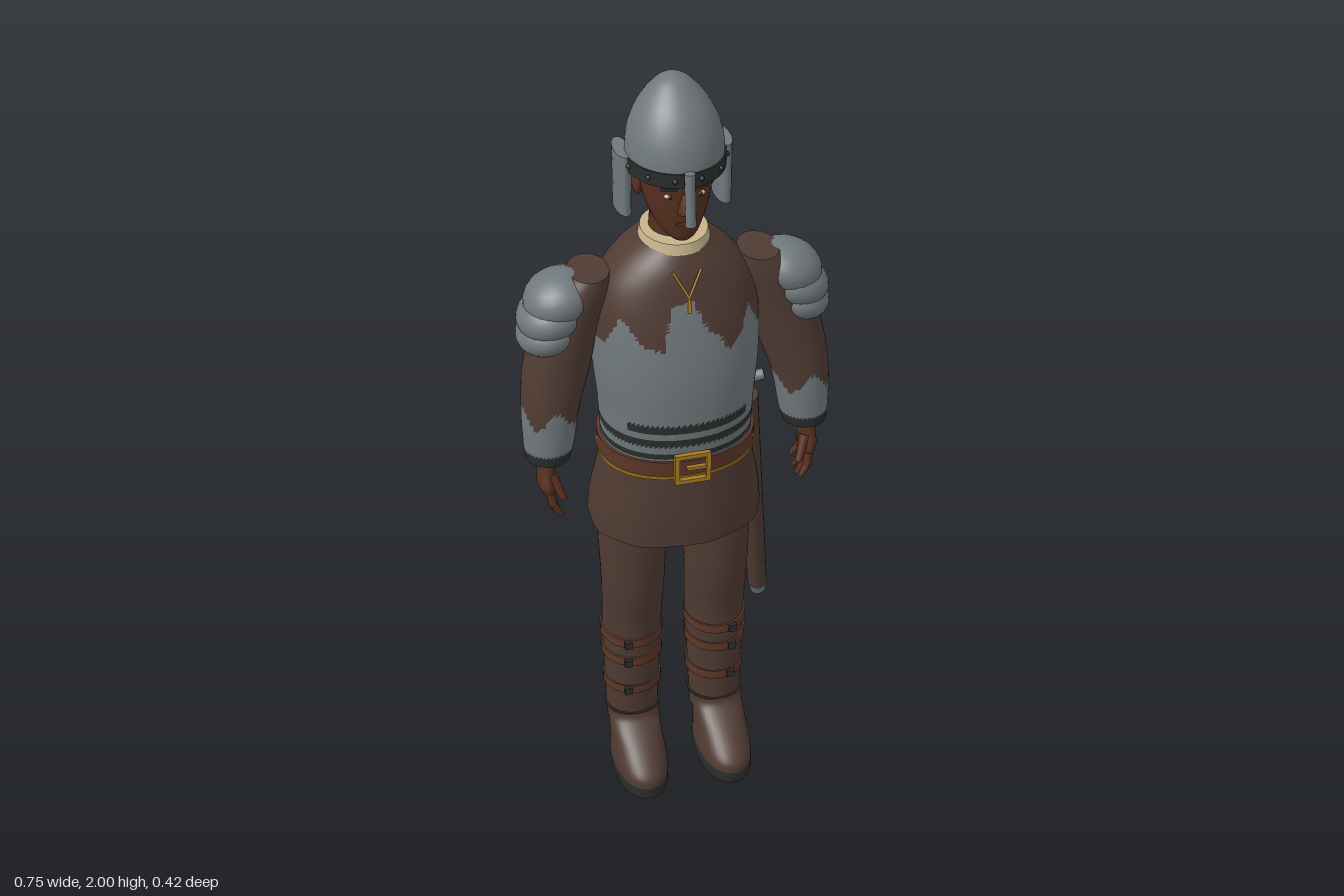
import * as THREE from 'three';

const mat = (name, color) => Object.assign(new THREE.MeshStandardMaterial({ color }), { name });
const cloth = mat('brown leather', 0x4f3b32), steel = mat('grey steel', 0x70787b), dark = mat('dark iron', 0x2b2d2d);
const skin = mat('skin', 0x56301f), strap = mat('russet strap', 0x5c3728), gold = mat('gold', 0xa87a24);
const cream = mat('cream linen', 0xc6b48c);
const skirtCloth = mat('skirt leather', 0x4f3b32);
skirtCloth.side = THREE.DoubleSide;

const add = (parent, name, geo, material) => {
  const m = new THREE.Mesh(geo, material);
  m.name = name;
  parent.add(m);
  return m;
};

// Smooth value between cross-sections
const spline = (a, b, c, d, t) =>
  0.5 * (2 * b + (c - a) * t + (2 * a - 5 * b + 4 * c - d) * t * t + (3 * b - a - 3 * c + d) * t * t * t);

// Skin over elliptical sections [y, cx, cz, rx, rz], lowest first; paint(x, y, z) picks a material index
function loft(sections, { seg = 28, sub = 4, power = 1, cap = true, paint = () => 0, shape } = {}) {
  const rings = [], n = sections.length - 1;
  const at = i => sections[Math.min(n, Math.max(0, i))];
  for (let i = 0; i < n; i++) for (let k = 0; k < sub; k++)
    rings.push(at(i).map((_, c) => spline(at(i - 1)[c], at(i)[c], at(i + 1)[c], at(i + 2)[c], k / sub)));
  rings.push(sections[n]);
  const pos = [], tris = [];
  const bend = p => 0 ** 0 * Math.sign(p) * Math.abs(p) ** power;
  const ring = ([y, cx, cz, rx, rz]) => {
    for (let j = 0; j < seg; j++) {
      const a = j / seg * Math.PI * 2;
      const p = [cx + rx * bend(Math.sin(a)), y, cz + rz * bend(Math.cos(a))];
      pos.push(...(shape ? shape(p, a) : p));
    }
  };
  rings.forEach(ring);
  for (let i = 0; i < rings.length - 1; i++) for (let j = 0; j < seg; j++) {
    const a = i * seg + j, b = i * seg + (j + 1) % seg;
    tris.push([a, b, b + seg], [a, b + seg, a + seg]);
  }
  if (cap) for (const [r, flip] of [[rings[0], true], [rings.at(-1), false]]) {
    const s = pos.length / 3;
    ring(r);
    pos.push(r[1], r[0], r[2]);
    for (let j = 0; j < seg; j++) {
      const k = s + (j + 1) % seg;
      tris.push(flip ? [k, s + j, s + seg] : [s + j, k, s + seg]);
    }
  }
  // Sort triangles into colour groups
  const buckets = [];
  for (const t of tris) {
    const mid = [0, 1, 2].map(c => (pos[t[0] * 3 + c] + pos[t[1] * 3 + c] + pos[t[2] * 3 + c]) / 3);
    (buckets[paint(...mid)] ??= []).push(...t);
  }
  const g = new THREE.BufferGeometry(), index = [];
  buckets.forEach((b, i) => { g.addGroup(index.length, b.length, i); index.push(...b); });
  g.setAttribute('position', new THREE.Float32BufferAttribute(pos, 3));
  g.setIndex(index);
  g.computeVertexNormals();
  return g;
}

// Tapered round bar from p to q
function rod(parent, name, p, q, r0, r1, material) {
  const a = new THREE.Vector3(...p), b = new THREE.Vector3(...q), d = b.clone().sub(a);
  const m = add(parent, name, new THREE.CylinderGeometry(r1, r0, d.length(), 14), material);
  m.position.copy(a).add(b).multiplyScalar(0.5);
  m.quaternion.setFromUnitVectors(new THREE.Vector3(0, 1, 0), d.normalize());
  return m;
}
const ball = (parent, name, [x, y, z], [rx, ry, rz], material) => {
  const m = add(parent, name, new THREE.SphereGeometry(1, 24, 16), material);
  m.position.set(x, y, z);
  m.scale.set(rx, ry, rz);
  return m;
};
const box = (parent, name, [x, y, z], size, material) => {
  const m = add(parent, name, new THREE.BoxGeometry(...size), material);
  m.position.set(x, y, z);
  return m;
};

function buildTorso(g) {
  // Ragged upper edge of the breastplate, as [x, y]
  const edge = [[-.3, 1.37], [-.18, 1.385], [-.15, 1.46], [-.14, 1.45], [-.106, 1.395], [-.06, 1.385], [-.04, 1.49],
    [.01, 1.5], [.04, 1.43], [.07, 1.41], [.095, 1.36], [.125, 1.39], [.15, 1.45], [.18, 1.385], [.3, 1.37]];
  const edgeY = x => {
    const i = edge.findIndex(e => e[0] > x), [x0, y0] = edge[i - 1], [x1, y1] = edge[i];
    return y0 + (y1 - y0) * (x - x0) / (x1 - x0);
  };
  const paint = (x, y, z) => {
    if (z < -.07 && y > 1.59) return 3;
    if (z < 0 && Math.abs(y - 1.1) < .006) return 3;
    if (z < -.02) return z < -.1 && Math.abs(Math.abs(x) - .07) < .025 && Math.abs(y - 1.16) < .008 ? 2 : 0;
    if (Math.abs(y - 1.175) < .011 && Math.abs(x) < .145) return 2;
    if (Math.abs(y - 1.135) < .012 || Math.abs(y - 1.095) < .009) return 2;
    return y < edgeY(x) ? 1 : 0;
  };
  add(g, 'torso', loft([[1, 0, .015, .18, .15], [1.08, 0, .018, .182, .155], [1.18, 0, .017, .187, .16],
    [1.3, 0, .014, .197, .16], [1.42, 0, .006, .196, .149], [1.5, 0, -.002, .178, .138],
    [1.56, 0, -.003, .135, .12], [1.61, 0, 0, .075, .09]], { seg: 96, sub: 12, power: .92, paint }),
  [cloth, steel, dark, cream]);
  add(g, 'collar', loft([[1.6, 0, .003, .083, .096], [1.625, 0, .003, .077, .09]]), cream);
  add(g, 'skirt', loft([[.82, 0, .005, .215, .17], [.9, 0, .01, .207, .166], [1, 0, .017, .188, .153],
    [1.045, 0, .017, .183, .15]], { seg: 48, cap: false, power: .92,
    shape: ([x, y, z], a) => { const f = 1 + .012 * Math.sin(a * 9) * (1.04 - y) / .22; return [x * f, y, z * f]; } }), skirtCloth);
  // Belt with gilt lower edge and square buckle
  add(g, 'belt', loft([[1.04, 0, .016, .191, .16], [1.082, 0, .016, .191, .162]], { seg: 48, power: .92 }), strap);
  add(g, 'beltEdge', loft([[1.03, 0, .016, .192, .16], [1.04, 0, .016, .193, .162]],
    { seg: 48, power: .92, paint: (x, y, z) => z > 0 ? 0 : 1 }), [gold, cream]);
  for (const s of [-1, 1]) {
    box(g, 'buckleSide', [s * .038, 1.065, .183], [.011, .082, .012], gold);
    box(g, 'buckleBar', [0, 1.065 + s * .036, .183], [.08, .011, .012], gold);
  }
  box(g, 'bucklePin', [.01, 1.065, .183], [.05, .008, .01], gold);
  // Necklace
  for (const s of [-1, 1]) rod(g, 'necklaceChain', [s * .033, 1.575, .122], [0, 1.515, .144], .003, .003, gold);
  rod(g, 'necklacePendant', [0, 1.515, .144], [0, 1.48, .15], .003, .005, gold);
}

function buildHead(g) {
  add(g, 'neck', loft([[1.56, 0, -.005, .066, .066], [1.64, 0, -.005, .054, .06], [1.72, 0, -.002, .056, .062]]), skin);
  add(g, 'face', loft([[1.637, 0, .07, .022, .026], [1.652, 0, .052, .042, .053], [1.69, 0, .03, .064, .079],
    [1.74, 0, .02, .078, .092], [1.79, 0, .014, .084, .098], [1.83, 0, .012, .084, .098]]), skin);
  add(g, 'nose', loft([[1.714, 0, .108, .018, .014], [1.724, 0, .112, .018, .02], [1.765, 0, .106, .009, .012]]), skin);
  box(g, 'mouth', [0, 1.688, .106], [.04, .008, .008], strap);
  for (const s of [-1, 1]) {
    ball(g, 'eye', [s * .034, 1.757, .099], [.013, .006, .008], cream);
    ball(g, 'pupil', [s * .034, 1.757, .105], [.005, .006, .004], dark);
    box(g, 'eyebrow', [s * .036, 1.776, .103], [.036, .006, .008], dark).rotation.y = s * .3;
    ball(g, 'ear', [s * .083, 1.745, 0], [.012, .03, .02], skin);
    // Hanging cheek guard
    const guard = add(g, 'cheekGuard', new THREE.CylinderGeometry(1, 1, .147, 20), steel);
    guard.position.set(s * .115, 1.755, -.013);
    guard.scale.set(.019, 1, .05);
  }
  add(g, 'hair', loft([[1.69, 0, -.035, .045, .032], [1.74, 0, -.03, .064, .052], [1.8, 0, -.02, .075, .07]]), dark);
  add(g, 'helmet', loft([[1.8, 0, .01, .109, .123], [1.84, 0, .01, .11, .122], [1.89, 0, .008, .101, .111],
    [1.94, 0, .004, .077, .085], [1.98, 0, -.002, .043, .046], [1.994, 0, -.004, .022, .024], [2, 0, -.004, .003, .003]], { seg: 40 }), steel);
  add(g, 'helmetBand', loft([[1.793, 0, .01, .114, .127], [1.827, 0, .01, .114, .127]], { seg: 40 }), dark);
  for (let i = 0; i < 12; i++) {
    const a = (i + .5) / 12 * Math.PI * 2;
    ball(g, 'rivet', [.115 * Math.sin(a), 1.811, .01 + .128 * Math.cos(a)], [.006, .006, .006], dark);
  }
  rod(g, 'nasalGuard', [0, 1.708, .154], [0, 1.832, .143], .012, .012, steel);
}

function buildArm(g, s) {
  // Sleeve with a ragged steel bracer and a dark cuff
  const paint = (x, y, z) => y < 1.088 ? 2
    : y < 1.185 + .022 * Math.sin(Math.atan2(x - s * .31, z - .03) * 4 + 1) ? 1 : 0;
  add(g, 'sleeve', loft([[1.06, s * .318, .038, .054, .056], [1.1, s * .314, .037, .061, .06], [1.2, s * .305, .03, .07, .064],
    [1.3, s * .283, .012, .08, .073], [1.4, s * .257, .003, .076, .077], [1.49, s * .222, .002, .068, .074],
    [1.538, s * .2, .002, .048, .065]], { seg: 40, sub: 8, paint }), [cloth, steel, dark]);
  // Overlapping shoulder plates
  [[.272, 1.478, .083, .062, .085], [.29, 1.438, .083, .056, .089], [.299, 1.395, .077, .052, .086]].forEach(([x, y, rx, ry, rz]) => {
    ball(g, 'shoulderPlate', [s * x, y, .005], [rx, ry, rz], steel).rotation.z = -s * .3;
  });
  // Hand
  add(g, 'palm', loft([[.958, s * .322, .045, .016, .036], [.985, s * .326, .046, .022, .04], [1.02, s * .325, .042, .022, .032],
    [1.065, s * .319, .038, .026, .028]]), skin);
  for (let i = 0; i < 4; i++) {
    const z = .076 - i * .021, len = [.052, .062, .058, .044][i];
    const knee = [s * .318, .965 - len * .55, z + (1.5 - i) * .004];
    rod(g, 'finger', [s * .322, .97, z], knee, .011, .01, skin);
    rod(g, 'fingertip', knee, [s * .3, .965 - len * 1.1, z + (1.5 - i) * .007], .01, .006, skin);
  }
  rod(g, 'thumb', [s * .316, 1.015, .062], [s * .293, .955, .088], .014, .008, skin);
}

function buildLeg(g, s) {
  add(g, 'leg', loft([[.12, s * .113, -.004, .068, .063], [.2, s * .113, -.004, .07, .066], [.32, s * .112, -.005, .074, .074],
    [.42, s * .111, -.008, .077, .082], [.5, s * .11, -.004, .078, .082], [.62, s * .109, .008, .081, .088],
    [.75, s * .108, .002, .086, .098], [.9, s * .106, 0, .088, .1]]), cloth);
  add(g, 'boot', loft([[0, s * .115, .072, .071, .139], [.035, s * .115, .072, .071, .139], [.065, s * .115, .068, .069, .133],
    [.11, s * .115, .038, .067, .104], [.15, s * .114, .006, .069, .073], [.172, s * .113, -.003, .073, .069]],
  { seg: 36, sub: 6, power: .9, paint: (x, y) => y < .034 ? 1 : 0 }), [cloth, dark]);
  add(g, 'ankleSeam', loft([[.168, s * .113, -.004, .074, .07], [.174, s * .113, -.004, .074, .07]]), dark);
  // Calf straps with small buckles
  for (const [y, rx, rz] of [[.435, .081, .086], [.37, .08, .083], [.265, .077, .076]]) {
    add(g, 'calfStrap', loft([[y - .013, s * .112, -.006, rx, rz], [y + .013, s * .112, -.006, rx, rz]]), strap);
    box(g, 'strapBuckle', [s * .138, y, rz - .008], [.02, .022, .012], dark);
  }
}

function buildSword(g) {
  const top = [.2, 1.07, -.062], end = [.283, .345, -.181];
  rod(g, 'scabbard', top, end, .031, .026, cloth);
  rod(g, 'scabbardTip', end, [.287, .312, -.187], .027, .021, steel);
  rod(g, 'swordGrip', [.2, 1.07, -.062], [.187, 1.19, -.045], .016, .01, strap);
  rod(g, 'crossguard', [.19, 1.115, -.065], [.243, 1.13, -.055], .014, .014, steel);
}

export function createModel() {
  const model = new THREE.Group();
  model.name = 'soldier';
  const group = (name, build, ...args) => {
    const g = new THREE.Group();
    g.name = name;
    model.add(g);
    build(g, ...args);
  };
  group('body', buildTorso);
  group('headAndHelmet', buildHead);
  for (const [s, side] of [[1, 'left'], [-1, 'right']]) {
    group(side + 'Arm', buildArm, s);
    group(side + 'Leg', buildLeg, s);
  }
  group('sword', buildSword);
  return model;
}
